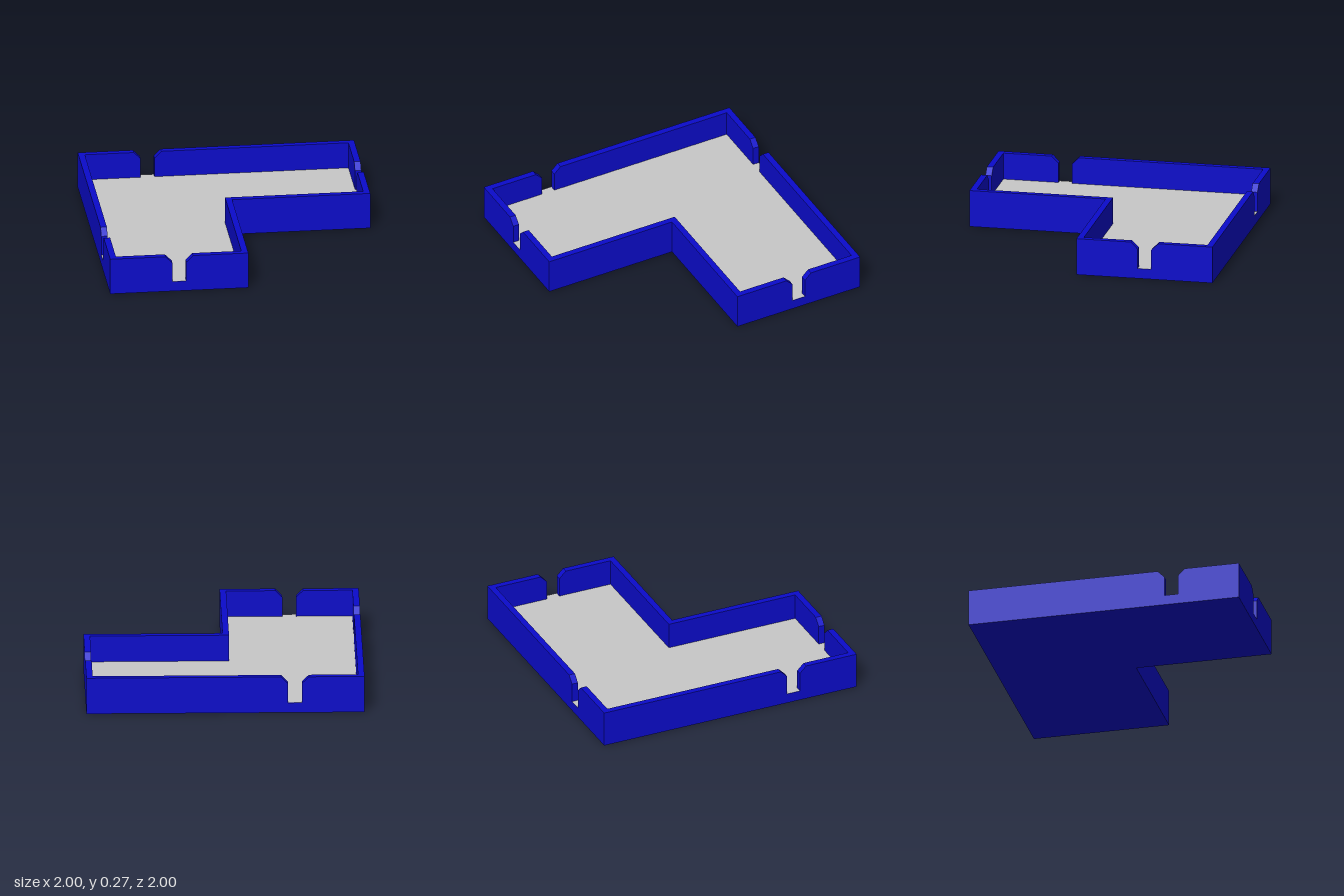
import * as THREE from 'three';

const H = 0.27;      // wall top
const FLOOR = 0.075; // floor level
const BASE = 0.074;  // slab top, just under the floor surface
const T = 0.046;     // wall thickness

const poly = (pts) => new THREE.Shape(pts.map(([x, y]) => new THREE.Vector2(x, y)));

// Wall elevation from a to b, with an optional doorway with flared top corners
function wallGeometry(a, b, gap) {
  const pieces = gap === undefined
    ? [[[a, BASE], [b, BASE], [b, H], [a, H]]]
    : [
        [[a, BASE], [gap - 0.05, BASE], [gap - 0.05, 0.22], [gap - 0.1, H], [a, H]],
        [[gap + 0.05, BASE], [b, BASE], [b, H], [gap + 0.1, H], [gap + 0.05, 0.22]],
      ];
  return new THREE.ExtrudeGeometry(pieces.map(poly), { depth: T, bevelEnabled: false });
}

export function createModel() {
  const blue = new THREE.MeshStandardMaterial({ color: 0x0b0bcb });
  blue.name = 'wall blue';
  const grey = new THREE.MeshStandardMaterial({ color: 0xc8c8c8 });
  grey.name = 'floor grey';

  const model = new THREE.Group();
  model.name = 'lShapedRoom';
  const add = (name, geometry, material) => {
    const mesh = new THREE.Mesh(geometry, material);
    mesh.name = name;
    model.add(mesh);
  };

  // L-shaped plan, drawn with -z as up
  const plan = poly([[-1, -1], [0, -1], [0, 0], [1, 0], [1, 1], [-1, 1]]);
  add('baseSlab', new THREE.ExtrudeGeometry(plan, { depth: BASE, bevelEnabled: false })
    .rotateX(-Math.PI / 2), blue);
  add('floor', new THREE.ShapeGeometry(plan).rotateX(-Math.PI / 2).translate(0, FLOOR, 0), grey);

  // Walls running along x: name, start, end, z of the rear face, doorway centre
  for (const [name, a, b, z, gap] of [
    ['backWall', -1, 1, -1, -0.5],
    ['frontWall', -1, 0, 1 - T, -0.5],
    ['innerCornerWallX', -T, 1, -T],
  ]) add(name, wallGeometry(a, b, gap).translate(0, 0, z), blue);

  // Walls running along z: name, start, end, x of the +x face, doorway centre
  for (const [name, a, b, x, gap] of [
    ['rightSideWall', -1 + T, 1 - T, -1 + T, 0.5],
    ['leftSideWall', -1 + T, -T, 1, -0.5],
    ['innerCornerWallZ', 0, 1 - T, 0],
  ]) add(name, wallGeometry(a, b, gap).rotateY(-Math.PI / 2).translate(x, 0, 0), blue);

  return model;
}
